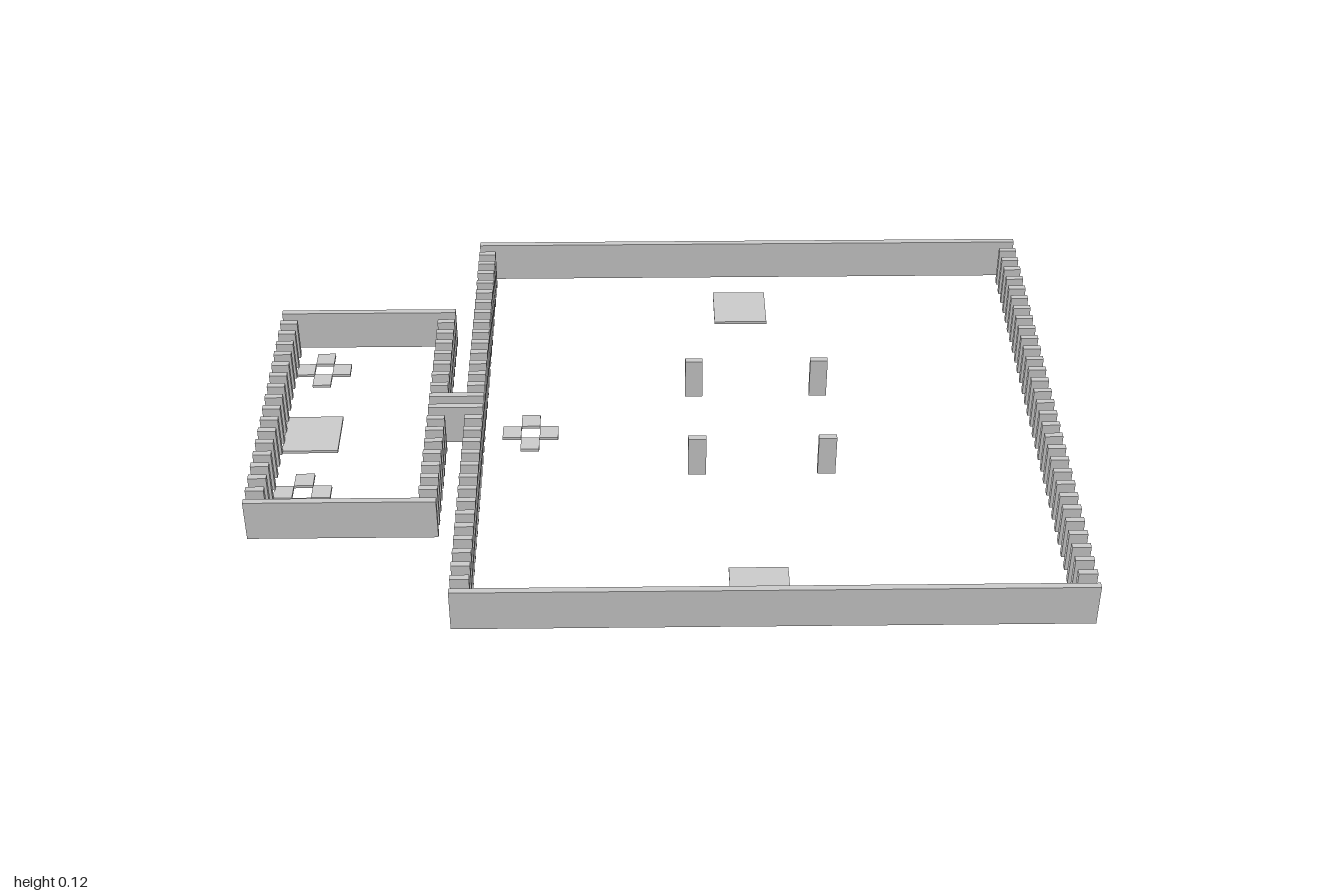
import * as THREE from 'three';

const PITCH = 0.0466;   // spacing of the posts along z
const BASE = 0.008;     // floor tile thickness, underside of the walls
const TOP = 0.119;
const THICK = 0.016;    // wall and post thickness
const POST = 0.045;     // post width along x
const TILE = 0.142;

export function createModel() {
  const model = new THREE.Group();
  const material = new THREE.MeshStandardMaterial({ color: 0xcccccc, flatShading: true });

  const box = (parent, name, x0, x1, y0, y1, z, depth) => {
    const mesh = new THREE.Mesh(new THREE.BoxGeometry(x1 - x0, y1 - y0, depth), material);
    mesh.position.set((x0 + x1) / 2, (y0 + y1) / 2, z);
    mesh.name = name;
    parent.add(mesh);
  };
  const upright = (parent, name, x0, x1, z) => box(parent, name, x0, x1, BASE, TOP, z, THICK);
  const tile = (parent, name, x, z, size) =>
    box(parent, name, x - size / 2, x + size / 2, 0, BASE, z, size);

  // Room: solid front and back walls, rows of posts along both sides
  const room = (name, x0, x1, posts, doorSide) => {
    const group = new THREE.Group();
    group.name = name;
    const wallZ = (posts + 1) / 2 * PITCH;
    upright(group, 'frontWall', x0, x1, wallZ);
    upright(group, 'backWall', x0, x1, -wallZ);
    for (let i = 0; i < posts; i++) {
      const k = i - (posts - 1) / 2;
      const atDoor = Math.abs(k) < 1;
      // the passage walls replace the two middle posts on the shared side
      if (!(atDoor && doorSide < 0)) upright(group, 'rightPost', x0, x0 + POST, k * PITCH);
      if (!(atDoor && doorSide > 0)) upright(group, 'leftPost', x1 - POST, x1, k * PITCH);
    }
    model.add(group);
  };
  room('largeRoom', -0.489, 1, 30, -1);
  room('smallRoom', -1, -0.538, 16, 1);

  // Passage between the rooms
  for (const s of [-1, 1]) upright(model, 'passageWall', -0.583, -0.444, s * PITCH / 2);

  // Four free-standing pillars
  for (const x of [0.093, 0.417])
    for (const s of [-1, 1])
      upright(model, 'pillar', x - POST / 2, x + POST / 2, s * 3.5 * PITCH);

  // Square floor plates
  for (const [x, z] of [[0.23, -0.566], [0.23, 0.595], [-0.887, -0.009]])
    tile(model, 'floorPlate', x, z, TILE);

  // Crosses of four small tiles around an open centre
  for (const [x, z] of [[-0.887, -0.288], [-0.887, 0.226], [-0.329, -0.009]]) {
    const cross = new THREE.Group();
    cross.name = 'tileCross';
    const s = TILE / 3;
    for (const [dx, dz] of [[1, 0], [-1, 0], [0, 1], [0, -1]])
      tile(cross, 'crossTile', x + dx * s, z + dz * s, s);
    model.add(cross);
  }
  return model;
}
